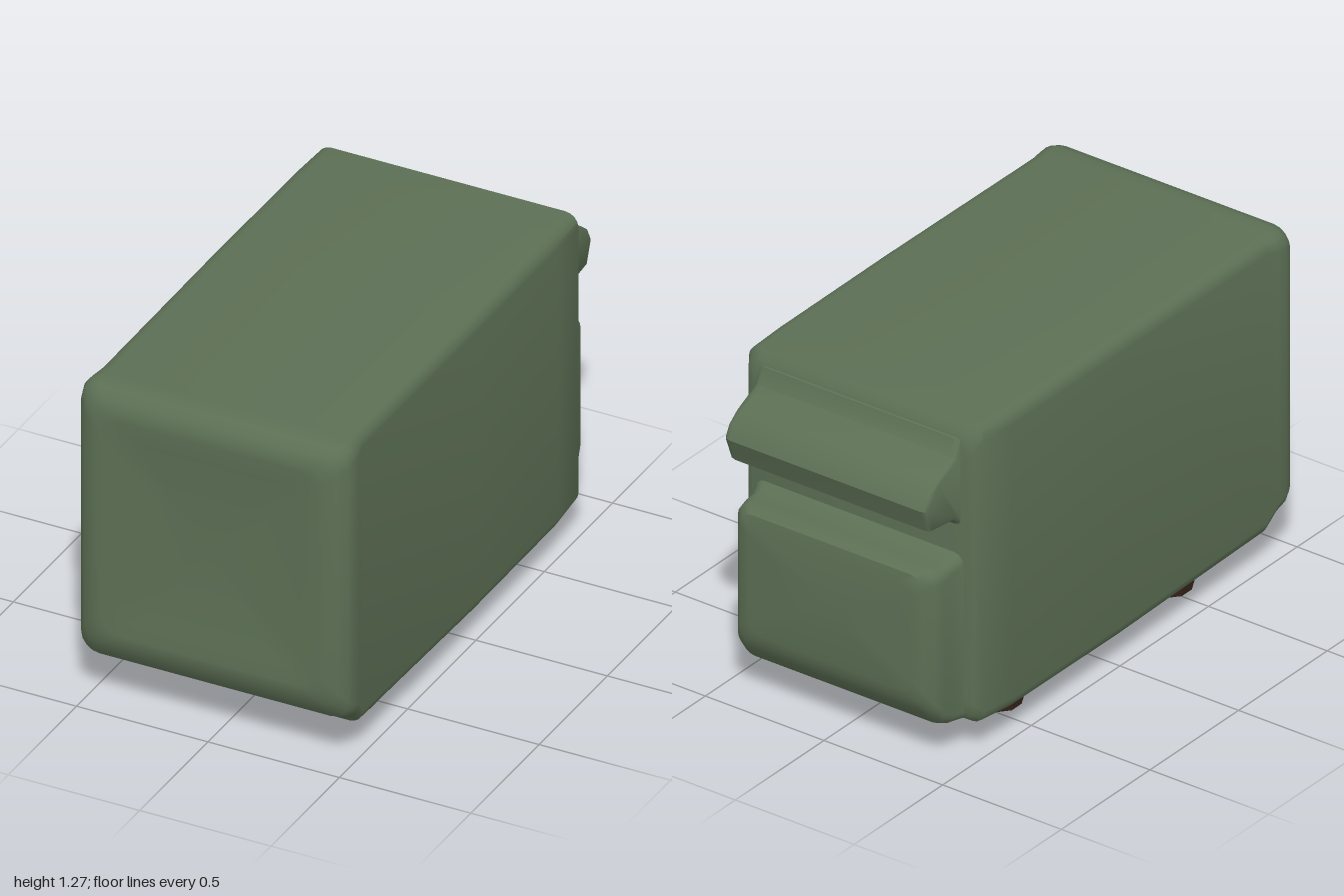
import * as THREE from 'three';
import { toCreasedNormals } from 'three/addons/utils/BufferGeometryUtils.js';

const CORNER_STEPS = 4;

// Rounded rectangle, counter-clockwise seen from +z
function ring([z, halfWidth, y0, y1, r]) {
  const pts = [];
  const corners = [[1, y1 - r], [-1, y1 - r], [-1, y0 + r], [1, y0 + r]];
  corners.forEach(([side, cy], c) => {
    for (let i = 0; i <= CORNER_STEPS; i++) {
      const a = (c + i / CORNER_STEPS) * Math.PI / 2;
      pts.push([side * (halfWidth - r) + r * Math.cos(a), cy + r * Math.sin(a), z]);
    }
  });
  return pts;
}

// Closed skin through sections [z, halfWidth, bottom, top, cornerRadius], back to front
function loft(sections) {
  const n = 4 * (CORNER_STEPS + 1);
  const pos = [], idx = [];
  sections.forEach((s) => ring(s).forEach((p) => pos.push(...p)));
  for (let k = 0; k < sections.length - 1; k++) {
    for (let i = 0; i < n; i++) {
      const a = k * n + i, b = k * n + (i + 1) % n;
      idx.push(a, b, b + n, a, b + n, a + n);
    }
  }
  // End caps fan out from a centre point
  [0, sections.length - 1].forEach((k) => {
    const [z, , y0, y1] = sections[k];
    const centre = pos.length / 3;
    pos.push(0, (y0 + y1) / 2, z);
    for (let i = 0; i < n; i++) {
      const a = k * n + i, b = k * n + (i + 1) % n;
      if (k === 0) idx.push(centre, b, a);
      else idx.push(centre, a, b);
    }
  });
  const g = new THREE.BufferGeometry();
  g.setAttribute('position', new THREE.Float32BufferAttribute(pos, 3));
  g.setIndex(idx);
  return toCreasedNormals(g, 0.75);
}

export function createModel() {
  const green = new THREE.MeshStandardMaterial({ color: 0x5c6f54 });
  green.name = 'dull green';
  const brown = new THREE.MeshStandardMaterial({ color: 0x38261b });
  brown.name = 'dark brown';

  const model = new THREE.Group();
  model.name = 'cabinet';
  const add = (name, geometry, material) => {
    const mesh = new THREE.Mesh(geometry, material);
    mesh.name = name;
    model.add(mesh);
    return mesh;
  };

  // Long casing, widening into a rounded front rim with a shallow dished face
  add('casing', loft([
    [-0.80, 0.45, 0.17, 1.20, 0.05],
    [-0.79, 0.475, 0.14, 1.24, 0.06],
    [-0.76, 0.495, 0.12, 1.27, 0.05],
    [-0.60, 0.50, 0.105, 1.272, 0.05],
    [0.00, 0.503, 0.105, 1.272, 0.05],
    [0.83, 0.50, 0.12, 1.268, 0.05],
    [0.88, 0.512, 0.17, 1.268, 0.06],
    [0.92, 0.515, 0.185, 1.268, 0.06],
    [0.95, 0.508, 0.20, 1.262, 0.07],
    [0.98, 0.48, 0.25, 1.235, 0.07],
    [0.997, 0.44, 0.29, 1.20, 0.07],
    [1.00, 0.41, 0.32, 1.17, 0.07],
    [0.99, 0.34, 0.38, 1.10, 0.07],
  ]), green);

  // Raised panel on the lower back
  add('backPanel', loft([
    [-0.968, 0.34, 0.29, 0.70, 0.05],
    [-0.96, 0.385, 0.25, 0.745, 0.05],
    [-0.93, 0.415, 0.20, 0.758, 0.05],
    [-0.89, 0.425, 0.15, 0.76, 0.05],
    [-0.84, 0.425, 0.13, 0.762, 0.04],
    [-0.81, 0.435, 0.13, 0.775, 0.04],
    [-0.77, 0.45, 0.13, 0.80, 0.04],
  ]), green);

  // Sloping hood on the upper back, its side profile swept across x
  const profile = [[0.76, 1.23], [0.79, 1.215], [0.815, 1.155], [0.92, 1.105], [0.965, 1.07],
    [0.985, 1.03], [0.955, 0.95], [0.83, 0.935], [0.80, 0.91], [0.76, 0.86]];
  const hoodShape = new THREE.Shape(profile.map(([z, y]) => new THREE.Vector2(z, y)));
  const hood = new THREE.ExtrudeGeometry(hoodShape, {
    depth: 0.80, bevelEnabled: true, bevelThickness: 0.025, bevelSize: 0.012, bevelSegments: 2,
  });
  hood.translate(0, 0, -0.40);
  hood.rotateY(Math.PI / 2); // profile x becomes -z
  add('backHood', toCreasedNormals(hood, 0.75), green);

  // Four short tapered feet
  const footGeometry = new THREE.CylinderGeometry(0.098, 0.064, 0.13, 8);
  footGeometry.rotateY(Math.PI / 8);
  const foot = toCreasedNormals(footGeometry, 0.6);
  for (const side of [1, -1]) {
    for (const [end, z] of [['front', 0.53], ['rear', -0.43]]) {
      const mesh = add(`${end}${side > 0 ? 'Left' : 'Right'}Foot`, foot, brown);
      mesh.position.set(side * 0.33, 0.065, z);
      mesh.scale.set(0.95, 1, 1.15);
    }
  }
  return model;
}
